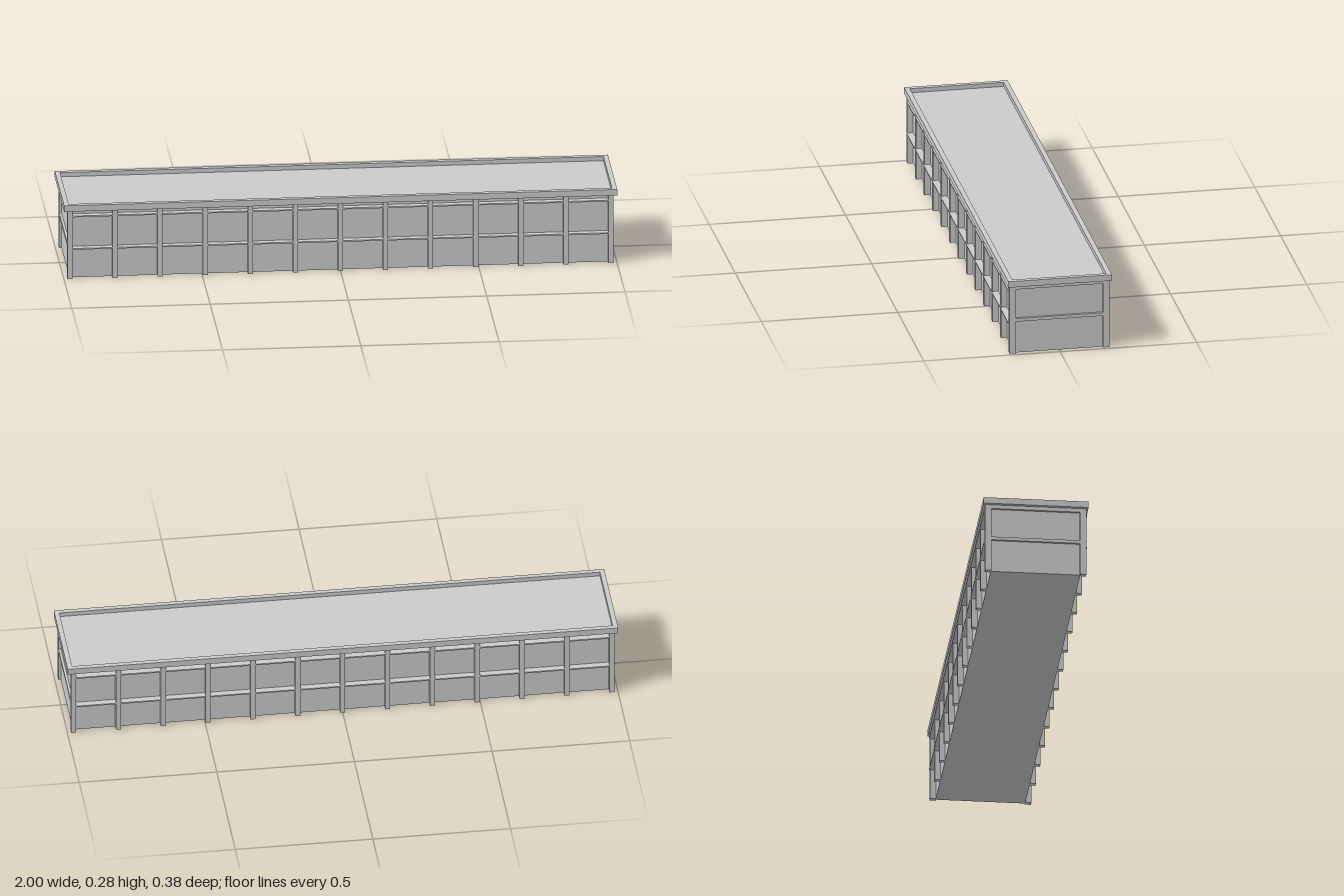
import * as THREE from 'three';

export function createModel() {
  const model = new THREE.Group();
  const material = new THREE.MeshStandardMaterial({ color: 0xcccccc, flatShading: true });

  // Box given by its minimum and maximum corners
  function box(name, [x0, y0, z0], [x1, y1, z1]) {
    const mesh = new THREE.Mesh(new THREE.BoxGeometry(x1 - x0, y1 - y0, z1 - z0), material);
    mesh.position.set((x0 + x1) / 2, (y0 + y1) / 2, (z0 + z1) / 2);
    mesh.name = name;
    model.add(mesh);
  }

  const bays = 12, pitch = 0.163, postHalf = 0.009;
  const wallX = 0.978, wallZ = 0.162, faceX = 0.987, faceZ = 0.183;
  const eaves = 0.26, top = 0.283;

  // Main body
  box('body', [-wallX, 0, -wallZ], [wallX, eaves, wallZ]);

  for (const s of [-1, 1]) {
    const zSpan = (a, b) => (s > 0 ? [a, b] : [-b, -a]);
    const [postBack, postFront] = zSpan(0.16, faceZ);
    const [shelfBack, shelfFront] = zSpan(0.16, 0.187);

    // Posts along the long sides, including the corners
    for (let i = 0; i <= bays; i++) {
      const x = (i - bays / 2) * pitch;
      box('post', [x - postHalf, 0, postBack], [x + postHalf, eaves, postFront]);
    }

    // Thin ledges between the posts, two per bay
    for (let i = 0; i < bays; i++) {
      const x = (i - bays / 2) * pitch;
      for (const y of [0.113, 0.237]) {
        box('ledge', [x + postHalf, y, shelfBack], [x + pitch - postHalf, y + 0.005, shelfFront]);
      }
    }

    // Rails framing the recessed end panels
    const [railBack, railFront] = s > 0 ? [0.97, faceX] : [-faceX, -0.97];
    box('endMiddleRail', [railBack, 0.122, -0.16], [railFront, 0.134, 0.16]);
    box('endTopRail', [railBack, 0.246, -0.16], [railFront, eaves, 0.16]);
  }

  // Flat roof with a raised rim
  box('roofDeck', [-0.982, eaves, -0.172], [0.982, 0.267, 0.172]);
  const rim = new THREE.Shape([[-1, -0.19], [1, -0.19], [1, 0.19], [-1, 0.19]].map(p => new THREE.Vector2(...p)));
  rim.holes.push(new THREE.Path([[-0.982, -0.172], [-0.982, 0.172], [0.982, 0.172], [0.982, -0.172]].map(p => new THREE.Vector2(...p))));
  const rimMesh = new THREE.Mesh(new THREE.ExtrudeGeometry(rim, { depth: top - eaves, bevelEnabled: false }), material);
  rimMesh.rotation.x = -Math.PI / 2;
  rimMesh.position.y = eaves;
  rimMesh.name = 'roofRim';
  model.add(rimMesh);

  return model;
}
